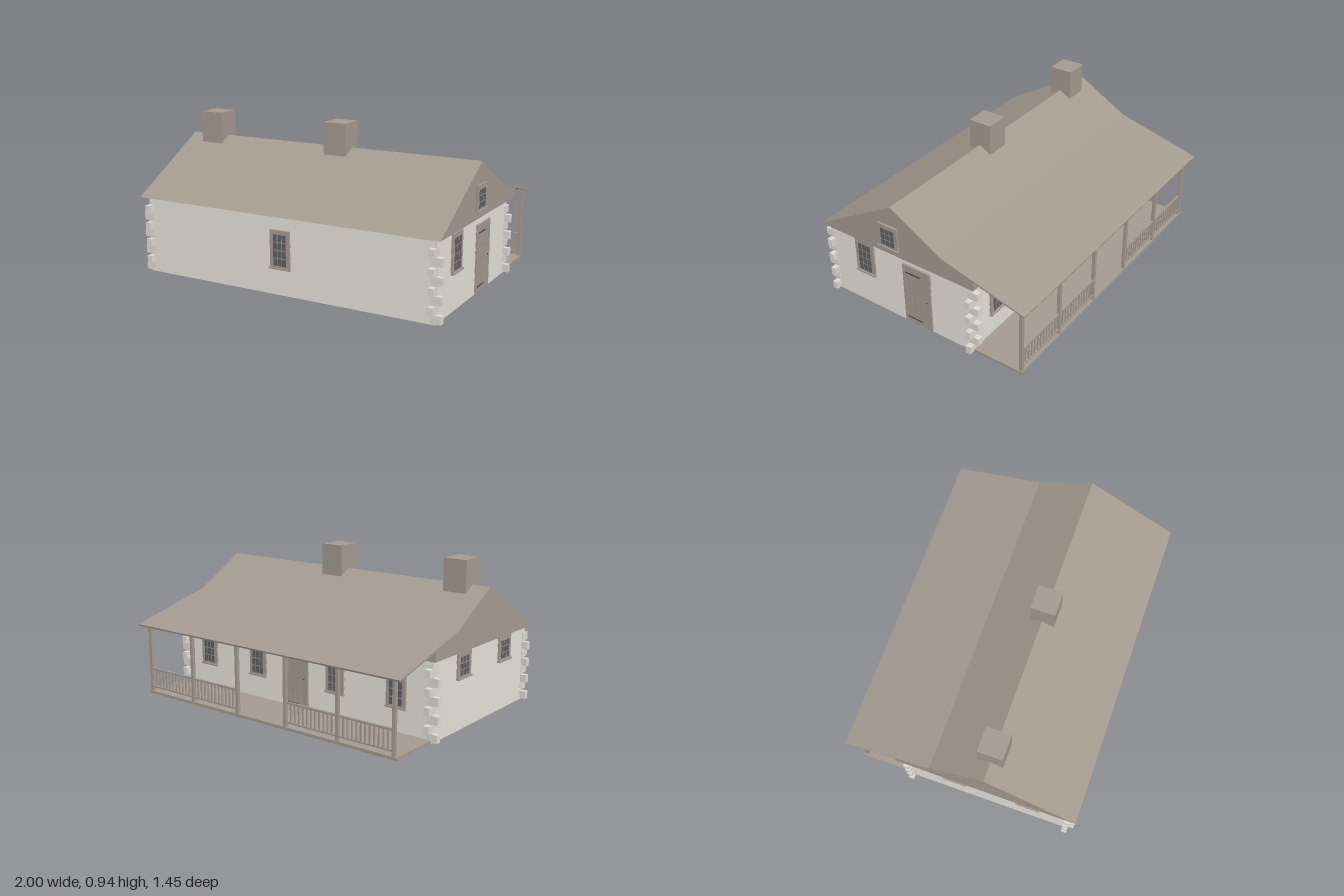
import * as THREE from 'three';

const mat = (name, color, side = THREE.FrontSide) => {
  const m = new THREE.MeshStandardMaterial({ color, side });
  m.name = name;
  return m;
};

export function createModel() {
  const log = mat('pale log', 0xded9d2);
  const wood = mat('brown wood', 0xa49a90);
  const gableWood = mat('brown gable wood', 0xa49a90, THREE.DoubleSide);
  const glass = mat('dark glass', 0x5e6061);
  const iron = mat('dark iron', 0x4c4946);

  const house = new THREE.Group();
  house.name = 'logCabin';

  // Extents of the walls and of the log ends / roof
  const X0 = -0.965, X1 = 0.94, Z0 = -0.36, Z1 = 0.685;
  const RX0 = -1, RX1 = 0.975, EAVE = 0.47, GZ0 = -0.395, GZ1 = 0.72;

  const add = (parent, name, geo, m) => {
    const mesh = new THREE.Mesh(geo, m);
    mesh.name = name;
    parent.add(mesh);
    return mesh;
  };
  // Box given by its minimum and maximum corners
  const box = (parent, name, m, x0, x1, y0, y1, z0, z1) => {
    const g = new THREE.BoxGeometry(x1 - x0, y1 - y0, z1 - z0);
    g.translate((x0 + x1) / 2, (y0 + y1) / 2, (z0 + z1) / 2);
    return add(parent, name, g, m);
  };
  // Group whose local +z points out of a wall
  const facing = (name, x, z, turn) => {
    const g = new THREE.Group();
    g.name = name;
    g.position.set(x, 0, z);
    g.rotation.y = turn;
    house.add(g);
    return g;
  };
  const FRONT = 0, RIGHT = Math.PI / 2, BACK = Math.PI, LEFT = -Math.PI / 2;

  // Walls of lapped logs: each course leans in slightly towards its top
  const wall = (name, x, z, turn, length) => {
    const rows = 9, h = EAVE / rows, s = new THREE.Shape();
    s.moveTo(-0.012, 0);
    for (let i = 0; i < rows; i++) {
      s.lineTo(0, i * h);
      s.lineTo(-0.005, (i + 1) * h);
    }
    s.lineTo(-0.012, EAVE);
    const g = new THREE.ExtrudeGeometry(s, { depth: length, bevelEnabled: false });
    g.rotateY(-Math.PI / 2).translate(length / 2, 0, 0);
    add(facing(name, x, z, turn), name, g, log);
  };
  const cx = (X0 + X1) / 2, cz = (Z0 + Z1) / 2;
  wall('frontWall', cx, Z1, FRONT, X1 - X0);
  wall('backWall', cx, Z0, BACK, X1 - X0);
  wall('rightWall', X1, cz, RIGHT, Z1 - Z0);
  wall('leftWall', X0, cz, LEFT, Z1 - Z0);

  // Interlocking log ends at the four corners
  const span = (a, b) => [Math.min(a, b), Math.max(a, b)];
  for (const [x, sx] of [[X0, -1], [X1, 1]]) {
    for (const [z, sz] of [[Z0, -1], [Z1, 1]]) {
      for (let i = 0; i < 4; i++) {
        const ya = 0.006 + i * 0.105, yb = 0.059 + i * 0.105;
        box(house, 'longLogEnd', log, ...span(x - sx * 0.032, x + sx * 0.035), ya, ya + 0.048,
          ...span(z - sz * 0.03, z + sz * 0.002));
        box(house, 'crossLogEnd', log, ...span(x - sx * 0.032, x + sx * 0.002), yb, yb + 0.046,
          ...span(z - sz * 0.03, z + sz * 0.035));
      }
    }
  }

  // Roof sheet following the ridge, the bend and the porch slope
  const top = [[0.722, 0.469], [0.165, 0.79], [-0.175, 0.595], [-0.725, 0.45]];
  const underside = [[-0.722, 0.44], [-0.175, 0.584], [0.165, 0.778], [0.701, 0.469]];
  const roofShape = new THREE.Shape([...top, ...underside].map(([z, y]) => new THREE.Vector2(-z, y)));
  const roofGeo = new THREE.ExtrudeGeometry(roofShape, { depth: RX1 - RX0, bevelEnabled: false });
  roofGeo.rotateY(Math.PI / 2).translate(RX0, 0, 0);
  add(house, 'roof', roofGeo, wood);

  // Gable ends and the fascia above the porch
  const slopeY = 0.595 + (GZ0 + 0.175) * (0.145 / 0.55);
  const gable = new THREE.Shape([[0.72, EAVE], [0.165, 0.789], [-0.175, 0.594], [GZ0, slopeY - 0.001], [GZ0, EAVE]]
    .map(([z, y]) => new THREE.Vector2(-z, y)));
  for (const [name, x] of [['rightGable', RX1 + 0.0005], ['leftGable', RX0 - 0.0005]]) {
    add(house, name, new THREE.ShapeGeometry(gable).rotateY(Math.PI / 2), gableWood).position.x = x;
  }
  box(house, 'porchFascia', wood, RX0 + 0.001, RX1 - 0.001, EAVE, slopeY - 0.004, GZ0, GZ0 + 0.008);

  // Soffit ring closing the overhang around the walls
  box(house, 'frontSoffit', wood, RX0 + 0.001, RX1 - 0.001, EAVE, EAVE + 0.004, Z1 - 0.012, GZ1 - 0.012);
  box(house, 'backSoffit', wood, RX0 + 0.001, RX1 - 0.001, EAVE, EAVE + 0.004, GZ0, Z0 + 0.012);
  box(house, 'rightSoffit', wood, X1 - 0.012, RX1 - 0.001, EAVE, EAVE + 0.004, Z0, Z1);
  box(house, 'leftSoffit', wood, RX0 + 0.001, X0 + 0.012, EAVE, EAVE + 0.004, Z0, Z1);

  // Chimneys
  for (const x of [-0.885, 0.005]) box(house, 'chimney', wood, x, x + 0.15, 0.68, 0.94, 0.09, 0.24);

  // Windows: frame, sill and a grid of panes
  const windowUnit = (x, z, turn, y0, y1, w, rows) => {
    const g = facing('window', x, z, turn);
    box(g, 'windowFrame', wood, -w / 2, w / 2, y0, y1, -0.004, 0.009);
    box(g, 'windowSill', wood, -w / 2 - 0.005, w / 2 + 0.005, y0 - 0.004, y0 + 0.005, 0, 0.017);
    const gw = w - 0.046, b0 = y0 + 0.016, gh = y1 - 0.026 - b0, gap = 0.005;
    const pw = (gw - 2 * gap) / 3, ph = (gh - (rows - 1) * gap) / rows;
    for (let c = 0; c < 3; c++) {
      for (let r = 0; r < rows; r++) {
        const px = -gw / 2 + c * (pw + gap), py = b0 + r * (ph + gap);
        box(g, 'windowPane', glass, px, px + pw, py, py + ph, 0.008, 0.01);
      }
    }
  };
  windowUnit(-0.0175, Z1, FRONT, 0.16, 0.385, 0.13, 4);
  windowUnit(X1, 0.417, RIGHT, 0.222, 0.445, 0.137, 4);
  windowUnit(RX1 + 0.006, 0.185, RIGHT, 0.518, 0.667, 0.14, 3);
  for (const z of [-0.045, 0.42]) windowUnit(X0, z, LEFT, 0.305, 0.455, 0.14, 3);
  for (const x of [-0.73, -0.3, 0.3, 0.72]) windowUnit(x, Z0, BACK, 0.16, 0.385, 0.13, 4);

  // Plank doors with casing, strap hinges and knob
  const door = (x, z, turn) => {
    const g = facing('door', x, z, turn);
    box(g, 'doorLeaf', wood, -0.082, 0.082, 0.005, 0.395, -0.004, 0.003);
    for (let i = 0; i < 4; i++) {
      box(g, 'doorPlank', wood, -0.079 + i * 0.04, -0.041 + i * 0.04, 0.005, 0.392, 0.002, 0.006);
    }
    for (const s of [-1, 1]) box(g, 'doorJamb', wood, ...span(s * 0.08, s * 0.098), 0, 0.41, -0.004, 0.008);
    box(g, 'doorHeader', wood, -0.08, 0.08, 0.392, 0.41, -0.004, 0.008);
    for (const y of [0.035, 0.355]) box(g, 'strapHinge', iron, -0.08, 0.024, y, y + 0.008, 0.005, 0.008);
    add(g, 'doorKnob', new THREE.SphereGeometry(0.004, 10, 8), iron).position.set(0.07, 0.2, 0.009);
  };
  door(X1, 0.032, RIGHT);
  door(0, Z0, BACK);

  // Porch deck, posts and top beam
  box(house, 'porchDeck', wood, X0 + 0.005, X1, 0, 0.018, -0.685, Z0 + 0.002);
  const postX = i => -0.935 + i * 0.372;
  for (let i = 0; i < 6; i++) {
    box(house, 'porchPost', wood, postX(i) - 0.01, postX(i) + 0.01, 0.018, 0.453, -0.682, -0.662);
  }
  box(house, 'porchBeam', wood, -0.945, 0.935, 0.436, 0.455, -0.681, -0.663);

  // Railings on every bay but the middle one
  for (const i of [0, 1, 3, 4]) {
    const a = postX(i) + 0.01, b = postX(i + 1) - 0.01;
    box(house, 'topRail', wood, a, b, 0.155, 0.167, -0.679, -0.665);
    box(house, 'bottomRail', wood, a, b, 0.04, 0.05, -0.678, -0.666);
    for (let k = 1; k <= 11; k++) {
      const x = a + (b - a) * k / 12;
      box(house, 'baluster', wood, x - 0.004, x + 0.004, 0.05, 0.155, -0.676, -0.668);
    }
  }
  return house;
}
